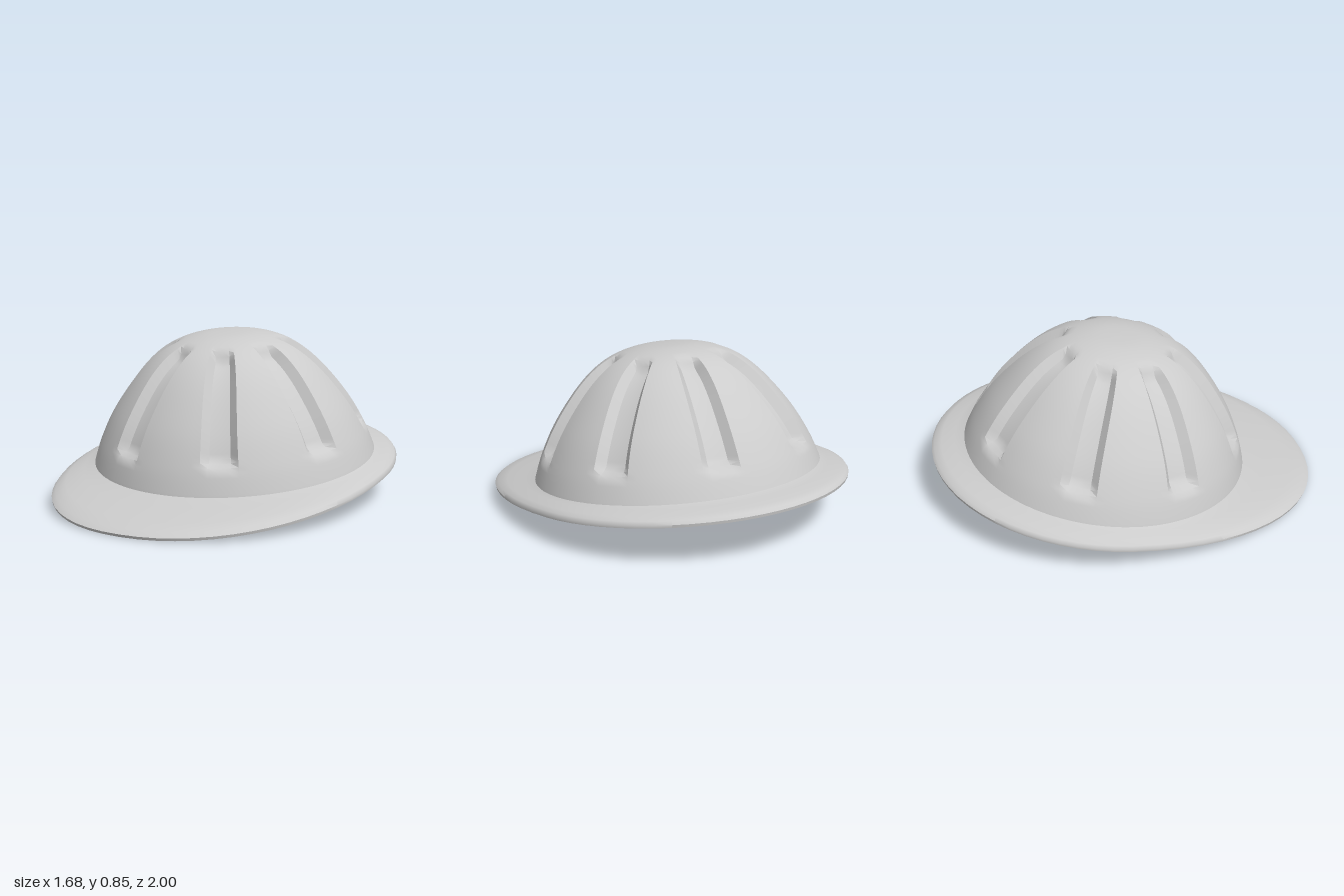
import * as THREE from 'three';
import { toCreasedNormals } from 'three/addons/utils/BufferGeometryUtils.js';

const material = new THREE.MeshStandardMaterial({ color: 0xcccccc });
const { lerp, smoothstep } = THREE.MathUtils;

// Skin a list of closed rings, running from the top centre outwards
function skin(rings, crease) {
  const n = rings[0].length;
  const pos = [];
  const tri = (a, b, c) => {
    if (a.distanceTo(b) < 1e-6 || b.distanceTo(c) < 1e-6 || c.distanceTo(a) < 1e-6) return;
    for (const p of [a, b, c]) pos.push(p.x, p.y, p.z);
  };
  for (let j = 0; j < rings.length - 1; j++) {
    for (let i = 0; i < n; i++) {
      const k = (i + 1) % n;
      tri(rings[j][i], rings[j + 1][i], rings[j + 1][k]);
      tri(rings[j][i], rings[j + 1][k], rings[j][k]);
    }
  }
  const geo = new THREE.BufferGeometry();
  geo.setAttribute('position', new THREE.Float32BufferAttribute(pos, 3));
  return toCreasedNormals(geo, crease);
}

// Dome profile (radius, height) from crown to base
const profile = new THREE.SplineCurve([
  [0, 0.637], [0.14, 0.63], [0.27, 0.597], [0.38, 0.535], [0.49, 0.43],
  [0.61, 0.27], [0.69, 0.12], [0.735, 0], [0.745, -0.04],
].map(([r, h]) => new THREE.Vector2(r, h)));

// Columns in one eighth: groove in the middle, plain shell either side
const SECTOR = Math.PI / 4;
function sectorColumns(halfGroove) {
  const edge = SECTOR / 2;
  const cols = [];
  for (let i = 0; i < 4; i++) cols.push([lerp(-edge, -halfGroove, i / 4), 0]);
  cols.push([-halfGroove, 0], [-halfGroove * 0.6, 0.9], [0, 1], [halfGroove * 0.6, 0.9]);
  for (let i = 0; i < 4; i++) cols.push([lerp(halfGroove, edge, i / 4), 0]);
  return cols;
}

// Crown shell with eight pressed-in grooves
function domeGeometry() {
  const rings = [];
  const ROWS = 44;
  for (let j = 0; j <= ROWS; j++) {
    const t = j / ROWS;
    const p = profile.getPointAt(t);
    const tan = profile.getTangentAt(t);
    const depth = 0.05 * smoothstep(p.x, 0.25, 0.33) * smoothstep(p.y, 0.1, 0.17);
    const cols = sectorColumns(lerp(0.2, 0.135, smoothstep(p.x, 0.25, 0.7)));
    const ring = [];
    for (let s = 0; s < 8; s++) {
      for (const [da, k] of cols) {
        const a = (s + 0.5) * SECTOR + da;
        const r = p.x + tan.y * depth * k;
        const h = p.y - tan.x * depth * k;
        ring.push(new THREE.Vector3(r * Math.sin(a), h, r * Math.cos(a)));
      }
    }
    rings.push(ring);
  }
  return skin(rings, 0.6);
}

// Egg-shaped brim outline, longer to the front
function brimOutline(a) {
  const s = Math.sin(a), c = Math.cos(a);
  const e = c > 0 ? 2 / 2.15 : 1;
  return [
    0.84 * Math.sign(s) * Math.abs(s) ** e,
    -0.12 + (c > 0 ? 1.12 : -0.88) * Math.abs(c) ** e,
  ];
}

// Brim with a rounded lip and a flat closed underside
function brimGeometry() {
  // [spread from dome base to outline, height above the underside]
  const section = [
    [-0.1, 0.078], [0, 0.07], [0.3, 0.058], [0.7, 0.043], [0.92, 0.03],
    [1, 0.014], [0.985, 0], [0, 0],
  ];
  const N = 64;
  const rings = section.map(([f, h]) => Array.from({ length: N }, (_, i) => {
    const a = (i / N) * Math.PI * 2;
    const [ox, oz] = brimOutline(a);
    const x = lerp(0.73 * Math.sin(a), ox, f);
    const z = lerp(-0.1 + 0.73 * Math.cos(a), oz, f);
    return new THREE.Vector3(x, 0.125 - 0.125 * z + h, z);
  }));
  rings.push(Array.from({ length: N }, () => new THREE.Vector3(0, 0.1375, -0.1)));
  return skin(rings, 0.8);
}

export function createModel() {
  const helmet = new THREE.Group();
  helmet.name = 'hardHat';

  const dome = new THREE.Mesh(domeGeometry(), material);
  dome.name = 'groovedDome';
  dome.position.set(0, 0.21, -0.1);
  dome.rotation.x = Math.atan(0.12); // tips forward with the brim
  helmet.add(dome);

  const brim = new THREE.Mesh(brimGeometry(), material);
  brim.name = 'brim';
  helmet.add(brim);

  return helmet;
}
